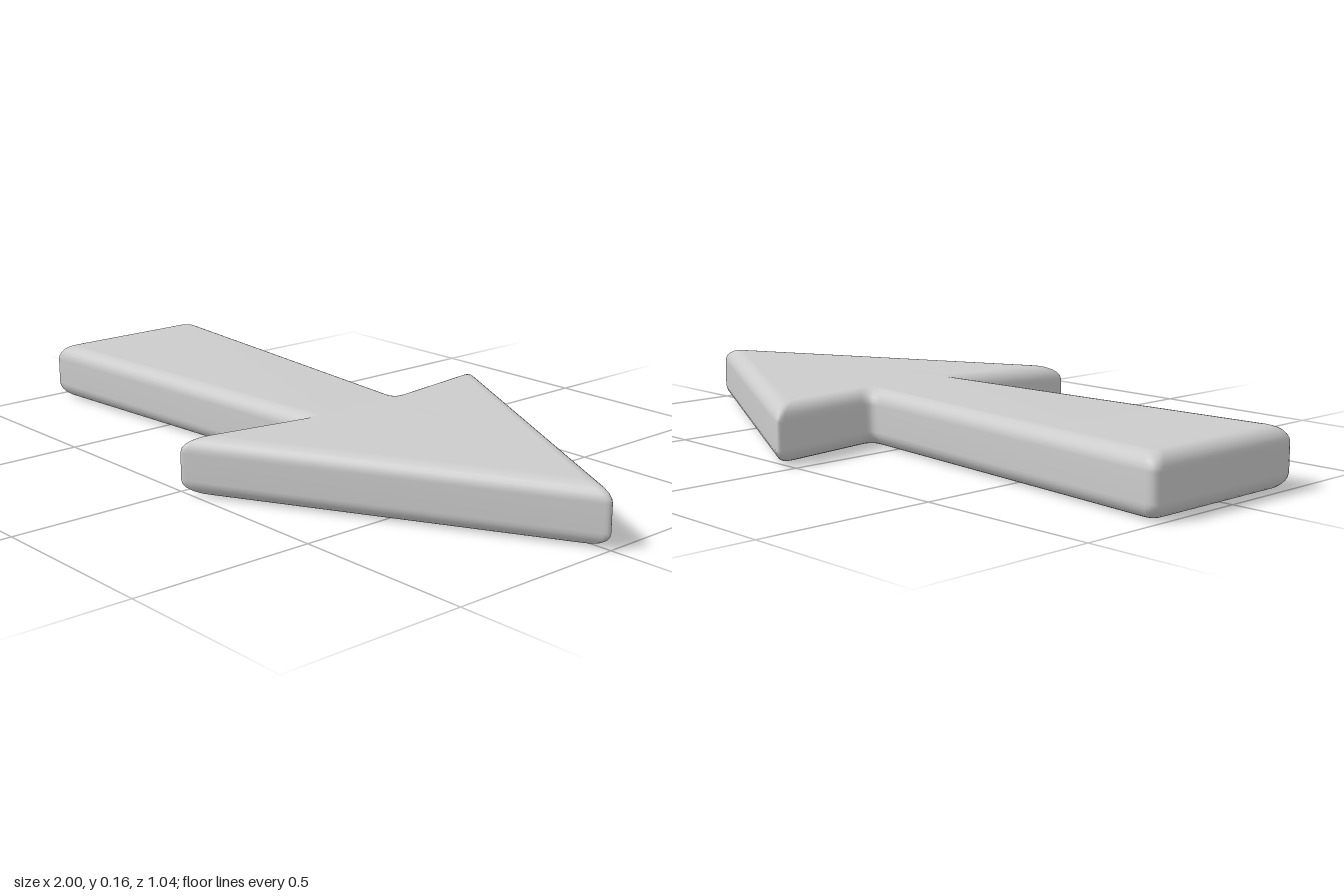
import * as THREE from 'three';

const HEIGHT = 0.157, BEVEL = 0.042, STEPS = 6, CORNER_STEPS = 5;

// Arrow outline on the ground plane: x, z, corner rounding
const OUTLINE = [
  [-0.997, -0.28, 0.03], [0.083, -0.176, 0.04], [0.036, -0.532, 0.026],
  [1.01, 0.003, 0.025], [0.018, 0.527, 0.026], [0.08, 0.162, 0.04], [-0.997, 0.242, 0.03],
];

// Outline moved inward by d with mitred, then rounded, corners
function ring(d) {
  const n = OUTLINE.length;
  const pts = OUTLINE.map(([x, z]) => new THREE.Vector2(x, z));
  const inward = pts.map((p, i) => {
    const e = pts[(i + 1) % n].clone().sub(p).normalize();
    return new THREE.Vector2(-e.y, e.x);
  });
  const moved = pts.map((p, i) => {
    const a = inward[(i + n - 1) % n], b = inward[i];
    return a.clone().add(b).multiplyScalar(d / (1 + a.dot(b))).add(p);
  });
  return moved.flatMap((p, i) => {
    const toward = (q) => q.clone().sub(p).setLength(OUTLINE[i][2]).add(p);
    const start = toward(moved[(i + n - 1) % n]), end = toward(moved[(i + 1) % n]);
    return new THREE.QuadraticBezierCurve(start, p, end).getPoints(CORNER_STEPS);
  });
}

function arrowGeometry() {
  // Levels from the bottom face, round the lower and upper edges, to the top face
  const levels = [];
  for (let i = 0; i <= STEPS; i++) {
    const a = (i / STEPS) * Math.PI / 2;
    levels.push([BEVEL * (1 - Math.sin(a)), BEVEL * (1 - Math.cos(a))]);
  }
  levels.push(...levels.map(([d, y]) => [d, HEIGHT - y]).reverse());

  const rings = levels.map(([d]) => ring(d));
  const n = rings[0].length;
  const positions = rings.flatMap((r, k) => r.flatMap((p) => [p.x, levels[k][1], p.y]));
  const index = [];

  // Sides
  for (let k = 0; k < rings.length - 1; k++) {
    for (let i = 0; i < n; i++) {
      const j = (i + 1) % n;
      const a = k * n + i, b = k * n + j, c = b + n, d = a + n;
      index.push(a, d, c, a, c, b);
    }
  }
  // Bottom and top faces
  const top = (rings.length - 1) * n;
  for (const [a, b, c] of THREE.ShapeUtils.triangulateShape(rings[0], [])) {
    index.push(a, b, c, top + a, top + c, top + b);
  }

  const geometry = new THREE.BufferGeometry();
  geometry.setAttribute('position', new THREE.Float32BufferAttribute(positions, 3));
  geometry.setIndex(index);
  geometry.computeVertexNormals();
  return geometry;
}

export function createModel() {
  const group = new THREE.Group();
  group.name = 'arrow';
  const body = new THREE.Mesh(arrowGeometry(), new THREE.MeshStandardMaterial({ color: 0xcccccc }));
  body.name = 'arrowBody';
  group.add(body);
  return group;
}
